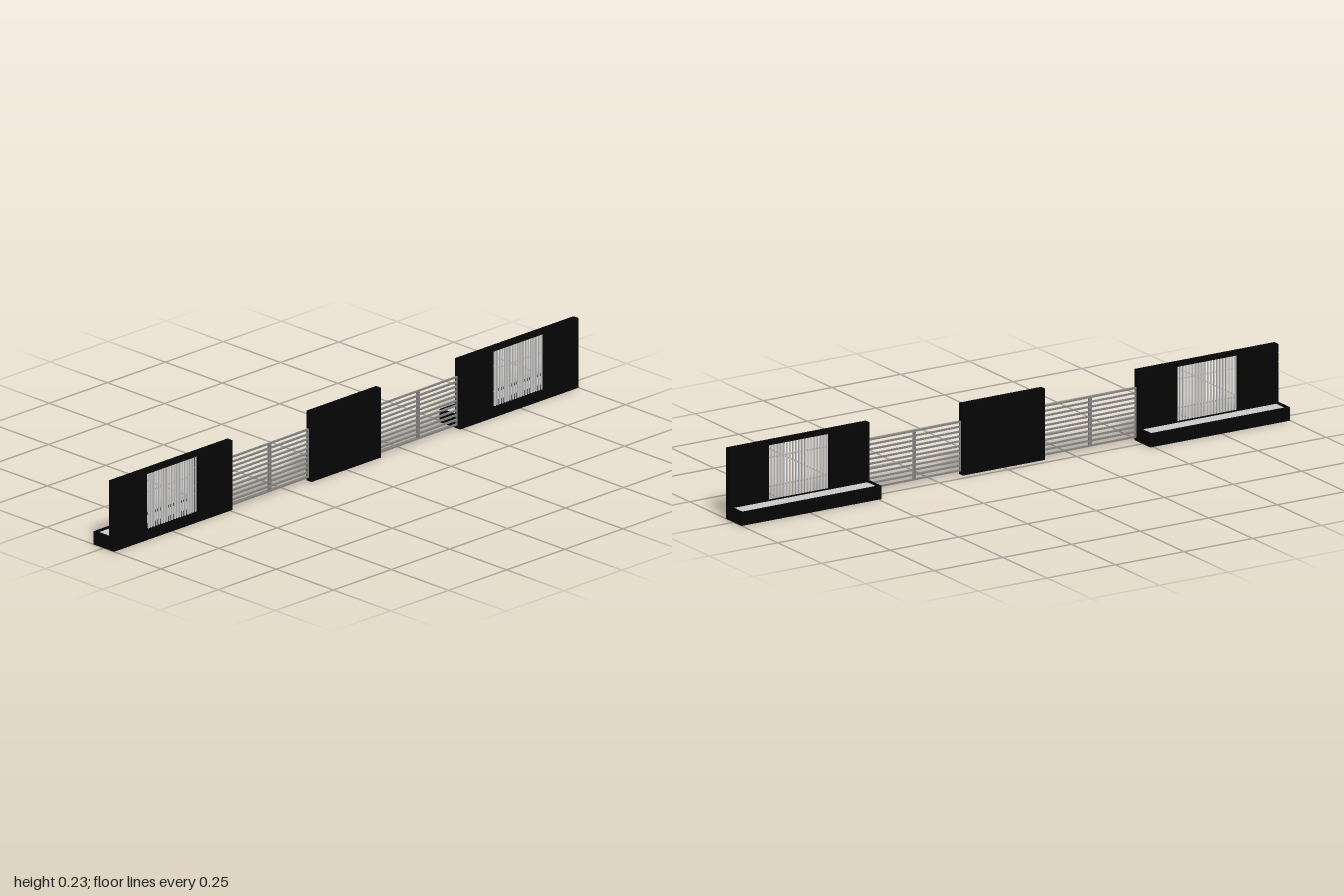
import * as THREE from 'three';

const black = new THREE.MeshStandardMaterial({ color: 0x050505 });
const grey = new THREE.MeshStandardMaterial({ color: 0xcccccc });
const steel = new THREE.MeshStandardMaterial({ color: 0x858585 });

const X0 = 0.023, X1 = 0.045, XM = (X0 + X1) / 2, H = 0.229;

// box given by its min and max corners
function box(parent, name, [x0, y0, z0], [x1, y1, z1], material = black) {
  const mesh = new THREE.Mesh(new THREE.BoxGeometry(x1 - x0, y1 - y0, z1 - z0), material);
  mesh.position.set((x0 + x1) / 2, (y0 + y1) / 2, (z0 + z1) / 2);
  mesh.name = name;
  parent.add(mesh);
}

// solid core clad with horizontal boards on both faces
function cladding(parent, z0, z1) {
  const skin = 0.0005, rows = 8, pitch = H / rows, gap = 0.0008;
  box(parent, 'wallCore', [X0 + skin, 0, z0], [X1 - skin, H, z1]);
  for (let i = 0; i < rows; i++) {
    const y0 = i * pitch, y1 = (i + 1) * pitch - (i < rows - 1 ? gap : 0);
    box(parent, 'wallBoard', [X0, y0, z0], [X0 + skin, y1, z1]);
    box(parent, 'wallBoard', [X1 - skin, y0, z0], [X1, y1, z1]);
  }
}

// wall with a barred opening and a planter trough along its foot
function planterWall() {
  const g = new THREE.Group();
  g.name = 'planterWall';
  const z0 = -0.255, z1 = 0.255, w = 0.112, sill = 0.032, head = 0.217;
  cladding(g, z0, -w);
  cladding(g, w, z1);
  box(g, 'windowSill', [X0, 0, -w], [X1, sill, w]);
  box(g, 'windowHead', [X0, head, -w], [X1, H, w]);

  // upright bars in the opening
  const bars = 20, pitch = 2 * w / bars, r = 0.0025;
  for (let i = 0; i < bars; i++) {
    const z = -w + (i + 0.5) * pitch;
    box(g, 'windowBar', [XM - r, sill, z - r], [XM + r, head, z + r], grey);
  }

  // trough against the wall: floor, rim and recessed soil
  const t = 0.008, x = -0.045, floor = 0.006, top = 0.043;
  box(g, 'planterFloor', [x, 0, z0], [X0, floor, z1]);
  box(g, 'planterSide', [x, floor, z0], [x + t, top, z1]);
  box(g, 'planterBack', [X0 - 0.001, floor, z0], [X0, top, z1]);
  box(g, 'planterEnd', [x + t, floor, z0], [X0 - 0.001, top, z0 + t]);
  box(g, 'planterEnd', [x + t, floor, z1 - t], [X0 - 0.001, top, z1]);
  box(g, 'soil', [x + t, floor, z0 + t], [X0 - 0.001, 0.038, z1 - t], grey);
  return g;
}

// two-bay fence of horizontal rails
function fence() {
  const g = new THREE.Group();
  g.name = 'fence';
  const half = 0.17, r = 0.0027, rails = 11, y0 = 0.014, y1 = 0.17;
  for (let i = 0; i < rails; i++) {
    const y = y0 + (y1 - y0) * i / (rails - 1);
    box(g, 'fenceRail', [-r, y - r, -half], [r, y + r, half], steel);
  }
  // slim posts at both ends and a pair in the middle
  const p = 0.002;
  for (const z of [-half + p, -0.0035, 0.0035, half - p])
    box(g, 'fencePost', [-r, y0 - r, z - p], [r, y1 + r, z + p], steel);
  return g;
}

export function createModel() {
  const model = new THREE.Group();
  model.name = 'gardenWall';

  const centre = new THREE.Group();
  centre.name = 'centreWall';
  cladding(centre, -0.15, 0.15);
  model.add(centre);

  for (const s of [-1, 1]) {
    const wall = planterWall();
    wall.position.z = s * 0.745;
    model.add(wall);
    const panel = fence();
    panel.position.set(XM, 0, s * 0.32);
    panel.rotation.y = 0.012;
    model.add(panel);
  }
  return model;
}
